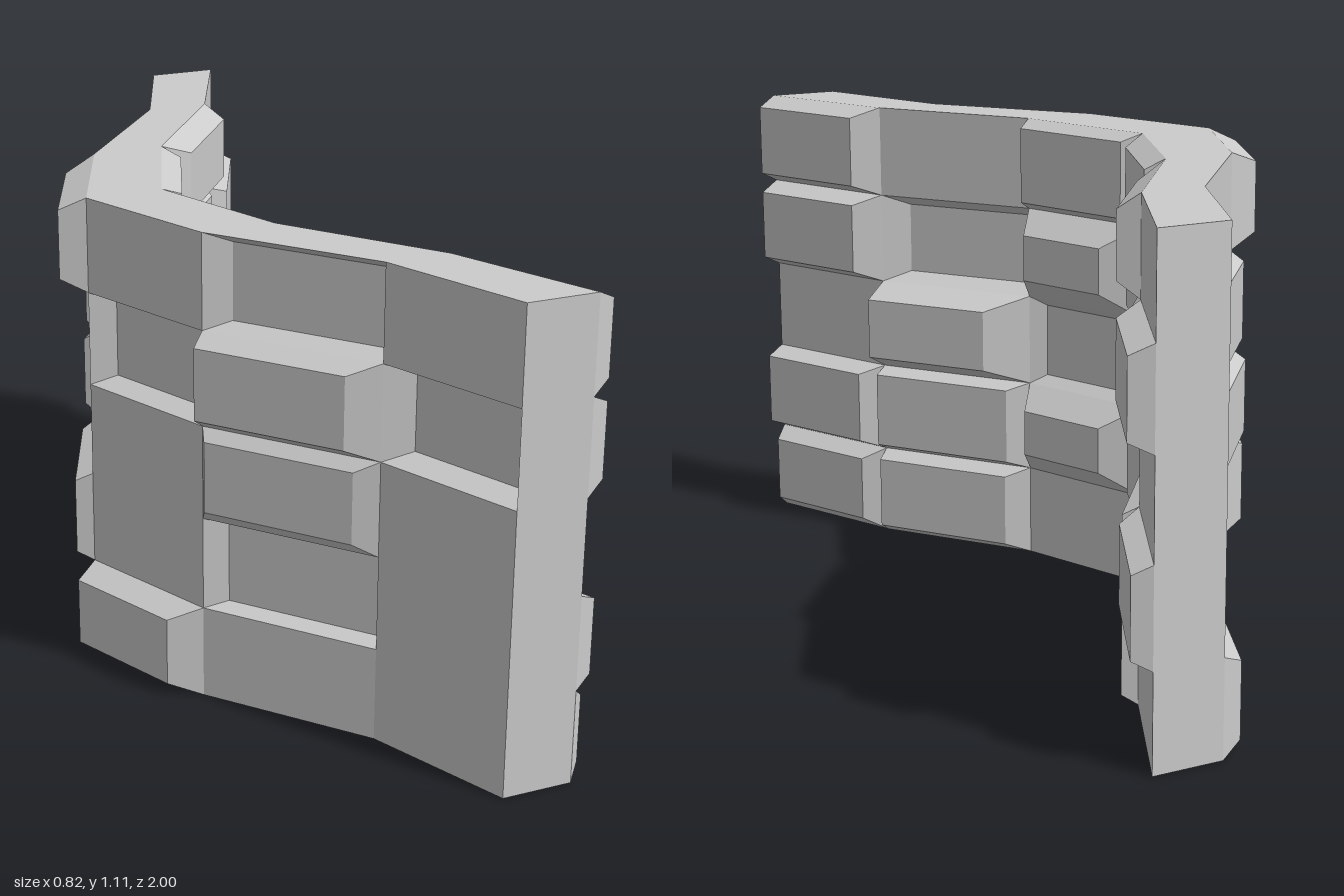
import * as THREE from 'three';

// Wall plan: x of the outer (-x) and inner (+x) faces at each column line, z from +1 to -1
const OUTER = [0.20, 0.06, -0.21, -0.35, -0.21, 0.06, 0.20];
const INNER = [0.365, 0.21, -0.04, -0.17, -0.04, 0.21, 0.365];
const COLS = 6, ROWS = 5, CELL_Z = 2 / COLS, CELL_Y = 0.2222;
const zAt = c => 1 - c * CELL_Z;

// Each stone is [inset, shift in x]; 0 is a flush cell. Rows run top to bottom, columns from z = +1 to -1
const INNER_STONES = [
  [[0.025, 0.06], 0, [0.02, 0.04], [0.025, 0.05], [0.036, 0.065], 0],
  [[0.025, 0.06], [0.025, -0.05], [0.055, 0.065], [0.05, 0.05], [0.018, 0.025], [0.025, 0.06]],
  [0, [0.036, 0.085], [0.022, -0.03], [0.045, 0.045], [0.02, -0.02], 0],
  [[0.022, 0.055], [0.018, 0.045], [0.055, 0.065], [0.02, 0.04], [0.018, 0.045], [0.022, 0.05]],
  [[0.03, 0.045], [0.022, 0.045], 0, [0.038, 0.05], [0.02, 0.045], 0],
];
const OUTER_STONES = [
  [0, [0.022, 0.045], 0, [0.03, -0.07], 0, 0],
  [[0.022, 0.06], [0.027, -0.053], [0.022, 0.05], 0, [0.022, -0.04], 0],
  [0, [0.027, -0.03], 0, 0, [0.027, -0.05], [0.02, 0.03]],
  [0, [0.015, 0.045], 0, [0.02, -0.045], 0, 0],
  [0, 0, [0.03, -0.065], 0, 0, [0.025, -0.045]],
];

const material = new THREE.MeshStandardMaterial({ color: 0xcccccc, flatShading: true });

function meshFromQuads(name, quads) {
  const pos = quads.flatMap(([a, b, c, d]) => [a, b, c, a, c, d].flat());
  const geometry = new THREE.BufferGeometry();
  geometry.setAttribute('position', new THREE.Float32BufferAttribute(pos, 3));
  geometry.computeVertexNormals();
  const mesh = new THREE.Mesh(geometry, material);
  mesh.name = name;
  return mesh;
}

// One wall cell: a flush quad, or a bevelled stone pushed out or in
function cellQuads(profile, col, row, stone, flip) {
  const [inset, shift] = stone || [0, 0];
  const ring = (m, dx) => {
    const t = m / CELL_Z;
    const point = (u, y) => [
      THREE.MathUtils.lerp(profile[col], profile[col + 1], u) + dx, y, zAt(col + u)];
    const top = (ROWS - row) * CELL_Y - m, bottom = (ROWS - row - 1) * CELL_Y + m;
    const r = [point(t, bottom), point(1 - t, bottom), point(1 - t, top), point(t, top)];
    return flip ? r.reverse() : r;
  };
  const base = ring(0, 0);
  if (!stone) return [base];
  const face = ring(inset, shift);
  const bevels = base.map((p, i) => {
    const j = (i + 1) % 4;
    return [p, base[j], face[j], face[i]];
  });
  return [face, ...bevels];
}

function wallFace(name, profile, stones, flip) {
  const group = new THREE.Group();
  group.name = name;
  stones.forEach((line, row) => {
    const quads = line.flatMap((stone, col) => cellQuads(profile, col, row, stone, flip));
    group.add(meshFromQuads(`${name}Course${ROWS - row}`, quads));
  });
  return group;
}

export function createModel() {
  const model = new THREE.Group();
  model.name = 'bentStoneWall';
  const H = ROWS * CELL_Y;

  // Stone courses on both faces
  model.add(wallFace('innerFace', INNER, INNER_STONES, false));
  model.add(wallFace('outerFace', OUTER, OUTER_STONES, true));

  // Top and underside follow the bent plan
  const strip = y => Array.from({ length: COLS }, (_, c) => [
    [OUTER[c], y, zAt(c)], [INNER[c], y, zAt(c)],
    [INNER[c + 1], y, zAt(c + 1)], [OUTER[c + 1], y, zAt(c + 1)]]);
  model.add(meshFromQuads('wallTop', strip(H)));
  model.add(meshFromQuads('wallUnderside', strip(0).map(q => q.reverse())));

  // Flat ends
  const end = c => [[OUTER[c], 0, zAt(c)], [INNER[c], 0, zAt(c)], [INNER[c], H, zAt(c)], [OUTER[c], H, zAt(c)]];
  model.add(meshFromQuads('frontEnd', [end(0)]));
  model.add(meshFromQuads('backEnd', [end(COLS).reverse()]));
  return model;
}
